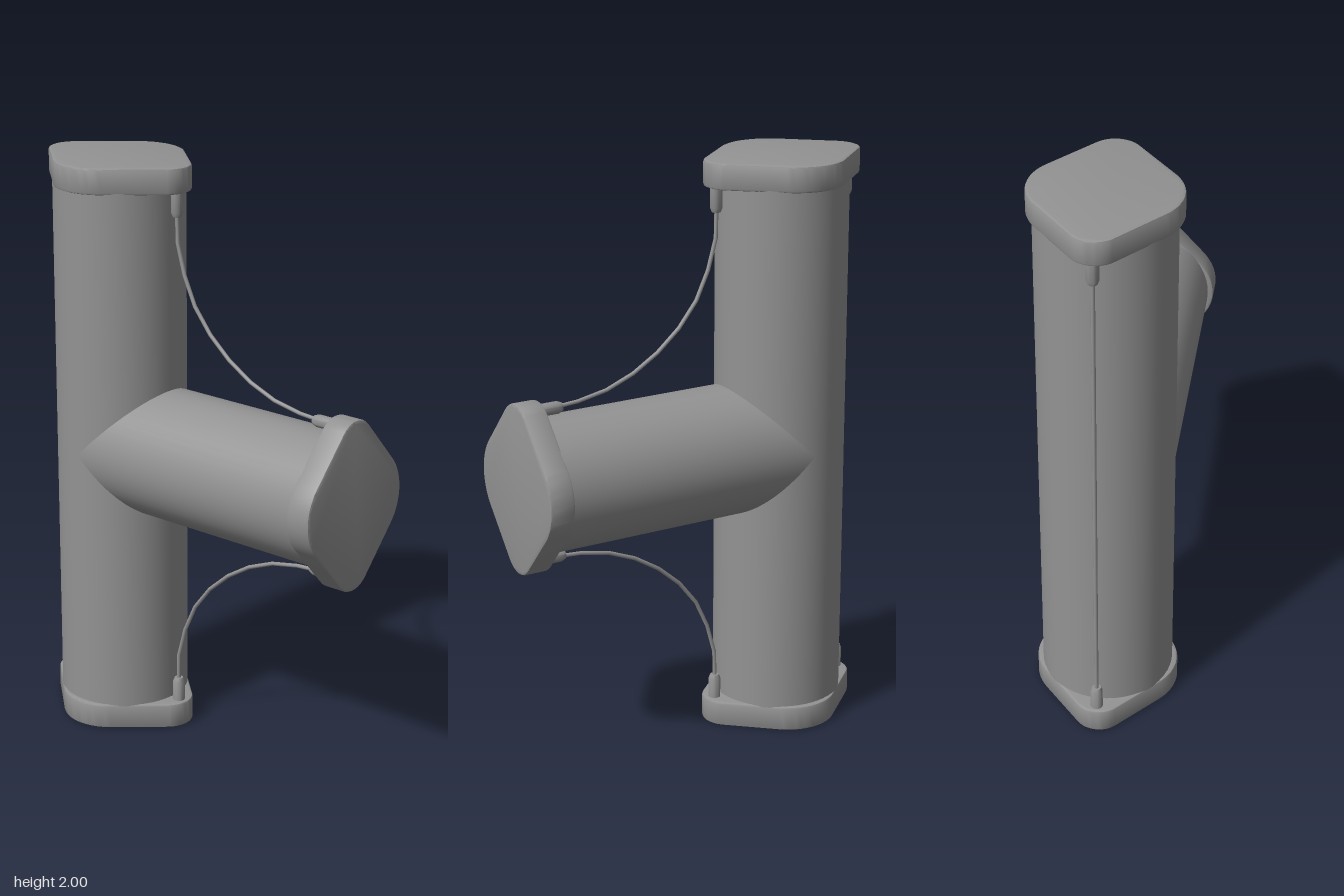
import * as THREE from 'three';
import { toCreasedNormals } from 'three/addons/utils/BufferGeometryUtils.js';

const PIPE_X = -0.36, R = 0.224, MID = 1, CAP = 0.088, PORT = 0.257;
const mat = new THREE.MeshStandardMaterial({ color: 0x939393, side: THREE.DoubleSide });

function add(parent, name, geometry) {
  const mesh = new THREE.Mesh(geometry, mat);
  mesh.name = name;
  parent.add(mesh);
  return mesh;
}

// Rounded diamond: four corner circles joined by their common tangents
function capGeometry() {
  const bevel = 0.008, wide = 0.17 - bevel, tip = 0.09 - bevel;
  const tipX = 0.292 - 0.09, wideY = 0.243 - 0.17;
  const a = Math.acos((wide - tip) / Math.hypot(tipX, wideY)) - Math.atan2(wideY, tipX);
  const s = new THREE.Shape();
  s.absarc(tipX, 0, tip, -a, a, false);
  s.absarc(0, wideY, wide, a, Math.PI - a, false);
  s.absarc(-tipX, 0, tip, Math.PI - a, Math.PI + a, false);
  s.absarc(0, -wideY, wide, Math.PI + a, 2 * Math.PI - a, false);
  const g = new THREE.ExtrudeGeometry(s, {
    depth: CAP - 2 * bevel, bevelEnabled: true, bevelThickness: bevel,
    bevelSize: bevel, bevelSegments: 2, curveSegments: 8,
  });
  g.translate(0, 0, bevel);
  g.rotateX(-Math.PI / 2); // stands on y = 0
  return toCreasedNormals(g, 0.5);
}

// Wire plug with a chamfered tip, rising from the inner face of a cap
function plugGeometry() {
  const pts = [[0, 0], [0.021, 0], [0.021, 0.068], [0.015, 0.083], [0, 0.083]];
  const g = new THREE.LatheGeometry(pts.map(p => new THREE.Vector2(...p)), 16);
  return toCreasedNormals(g, 0.6);
}

// End fitting: cap plus a plug on either side of the pipe
function endFitting(name) {
  const group = new THREE.Group();
  group.name = name;
  add(group, 'cap', capGeometry());
  for (const x of [-PORT, PORT]) add(group, 'plug', plugGeometry()).position.set(x, CAP, 0);
  return group;
}

export function createModel() {
  const model = new THREE.Group();
  model.name = 'teePipe';

  // Main pipe and side branch, mitred by their equal radii
  add(model, 'mainPipe', new THREE.CylinderGeometry(R, R, 2 - CAP, 48, 1, true)).position.set(PIPE_X, MID, 0);
  const branch = new THREE.CylinderGeometry(R, R, 0.6 - PIPE_X, 48, 1, true);
  branch.rotateZ(Math.PI / 2);
  add(model, 'branchPipe', branch).position.set((0.6 + PIPE_X) / 2, MID, 0);

  // Three end fittings
  const bottom = endFitting('bottomEnd');
  bottom.position.set(PIPE_X, 0, 0);
  const top = endFitting('topEnd');
  top.position.set(PIPE_X, 2, 0);
  top.rotation.x = Math.PI;
  const side = endFitting('branchEnd');
  side.position.set(0.653, MID, 0);
  side.rotation.z = Math.PI / 2;
  model.add(bottom, top, side);

  // Straight wire along the back of the main pipe
  add(model, 'straightWire', new THREE.CylinderGeometry(0.007, 0.007, 1.7, 8))
    .position.set(PIPE_X - PORT, MID, 0);

  // Curved wires from the main ends to the branch end, above and below
  const bend = [[-0.104, 0.85], [-0.104, 0.76], [-0.075, 0.645], [-0.018, 0.525], [0.06, 0.435],
    [0.167, 0.352], [0.246, 0.312], [0.336, 0.28], [0.484, 0.258], [0.53, 0.257]];
  for (const sign of [1, -1]) {
    const path = new THREE.CatmullRomCurve3(bend.map(([x, y]) => new THREE.Vector3(x, MID + sign * y, 0)));
    add(model, sign > 0 ? 'upperWire' : 'lowerWire', new THREE.TubeGeometry(path, 9, 0.007, 8));
  }
  return model;
}
